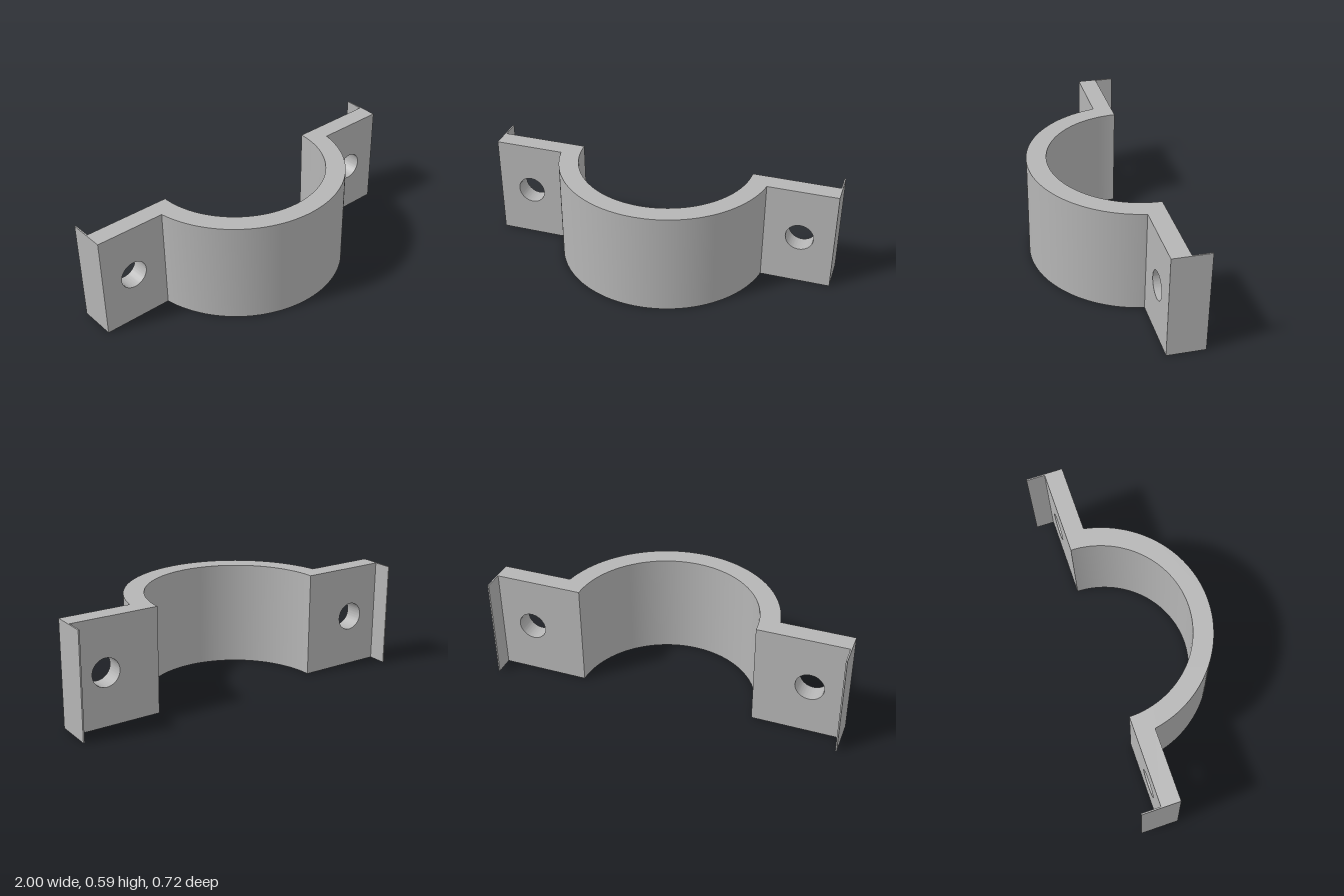
import * as THREE from 'three';
import { toCreasedNormals } from 'three/addons/utils/BufferGeometryUtils.js';

const HEIGHT = 0.59;
const BACK = -0.253, FRONT = -0.147; // z range of the flanges
const R_IN = 0.5, R_OUT = 0.611;

export function createModel() {
  const group = new THREE.Group();
  group.name = 'pipeClamp';
  const metal = new THREE.MeshStandardMaterial({ color: 0xb5b5b5 });
  metal.name = 'greyMetal';

  const add = (name, geometry) => {
    const mesh = new THREE.Mesh(geometry, metal);
    mesh.name = name;
    group.add(mesh);
    return mesh;
  };
  const extrude = (shape, depth, curveSegments) =>
    new THREE.ExtrudeGeometry(shape, { depth, curveSegments, bevelEnabled: false });

  // Half ring with short stubs that meet the flanges, drawn in plan (x, z)
  const a = Math.asin((FRONT - BACK) / R_OUT);
  const joinX = R_OUT * Math.cos(a);
  const plan = new THREE.Shape();
  plan.moveTo(joinX, BACK);
  plan.lineTo(joinX, FRONT);
  plan.absarc(0, BACK, R_OUT, a, Math.PI - a, false);
  plan.lineTo(-joinX, BACK);
  plan.lineTo(-R_IN, BACK);
  plan.absarc(0, BACK, R_IN, Math.PI, 0, true);
  plan.closePath();
  const ring = extrude(plan, HEIGHT, 64);
  ring.rotateX(Math.PI / 2).translate(0, HEIGHT, 0);
  add('halfRing', toCreasedNormals(ring, 0.5));

  for (const [side, s] of [['left', 1], ['right', -1]]) {
    // Flat flange with a round bolt hole
    const x0 = Math.min(s * joinX, s), x1 = Math.max(s * joinX, s);
    const face = new THREE.Shape();
    face.moveTo(x0, 0);
    face.lineTo(x1, 0);
    face.lineTo(x1, HEIGHT);
    face.lineTo(x0, HEIGHT);
    face.closePath();
    const hole = new THREE.Path();
    hole.absarc(s * 0.805, HEIGHT / 2, 0.079, 0, Math.PI * 2, true);
    face.holes.push(hole);
    const flange = extrude(face, FRONT - BACK, 40);
    flange.translate(0, 0, BACK);
    add(side + 'Flange', toCreasedNormals(flange, 0.5));

    // Thin lip turned back at the outer end
    const lipDepth = BACK + 0.359;
    const lip = add(side + 'Lip', new THREE.BoxGeometry(0.008, HEIGHT, lipDepth));
    lip.position.set(s * 0.996, HEIGHT / 2, BACK - lipDepth / 2);
  }

  return group;
}
